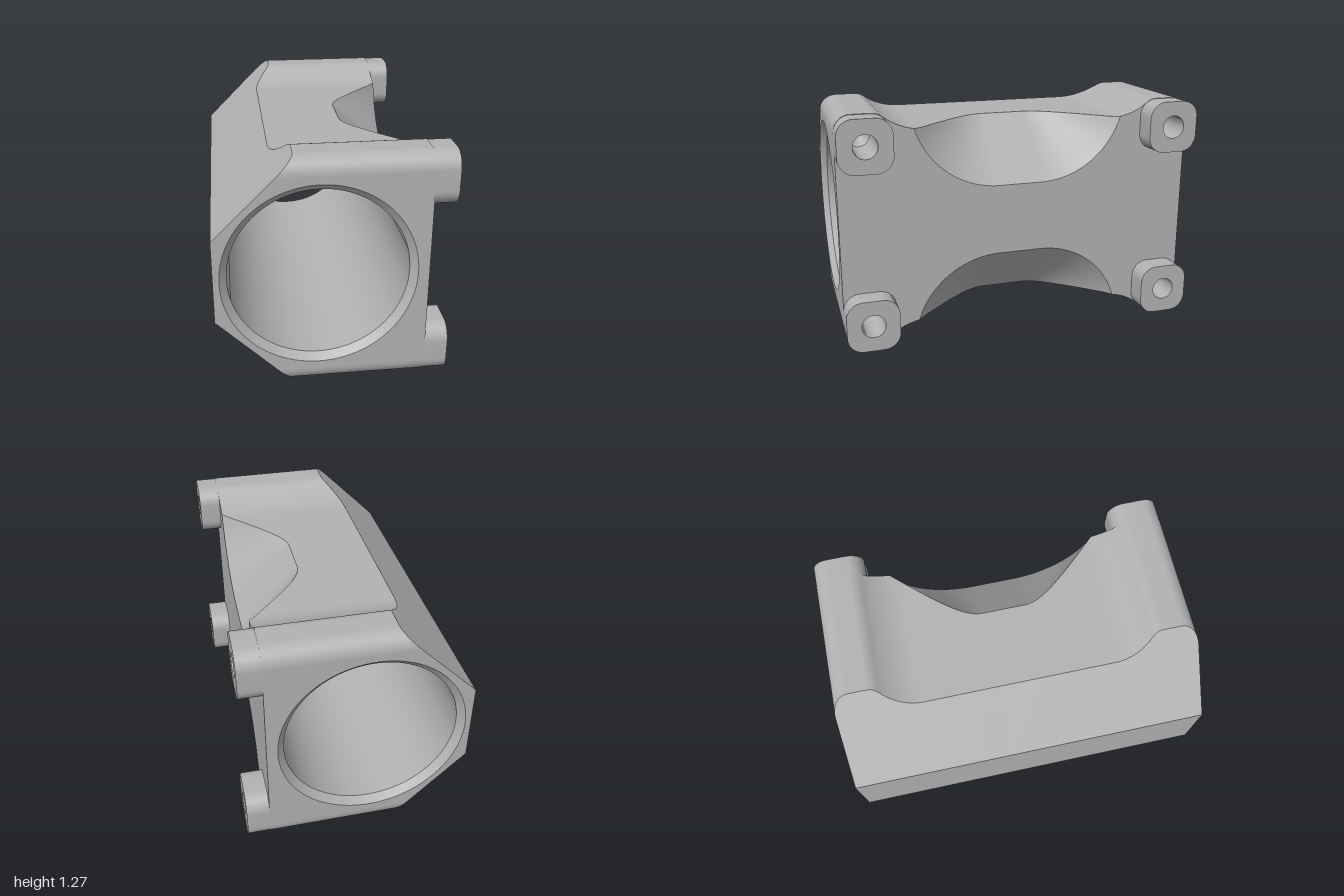
import * as THREE from 'three';
import { toCreasedNormals } from 'three/addons/utils/BufferGeometryUtils.js';

const H = 1.266, MID = H / 2;             // overall height and its middle
const LEFT = -0.607, FACE = 0.483, FOOT = 0.605;
const CORNER = 0.09, ZB = 0.588;          // corner radius, half width of the scoops
const BORE_X = -0.075, BORE_R = 0.463, MOUTH_R = 0.5;
const DRILL_R = 0.064, DRILL_Z = 0.857, DRILL_Y = H - 0.146;
const CONE_Z = 0.12, CONE_Y = 1.32, CONE_R = 0.49;

const grey = new THREE.MeshStandardMaterial({ color: 0xb2b2b2 });
grey.name = 'castGrey';

const V = (x, y, z) => new THREE.Vector3(x, y, z);

// Smooth surface through equal rows of points; lower = mirrored to the underside
function sheet(rows, lower = false) {
  const n = rows[0].length, pos = [], idx = [];
  rows.forEach(r => r.forEach(p => pos.push(p.x, lower ? H - p.y : p.y, p.z)));
  for (let i = 0; i < rows.length - 1; i++) {
    for (let j = 0; j < n - 1; j++) {
      const a = i * n + j, b = a + n, c = b + 1, d = a + 1;
      if (lower) idx.push(a, c, b, a, d, c);
      else idx.push(a, b, c, a, c, d);
    }
  }
  const g = new THREE.BufferGeometry();
  g.setAttribute('position', new THREE.Float32BufferAttribute(pos, 3));
  g.setIndex(idx);
  g.computeVertexNormals();
  return g;
}

// Upper outline seen from the side, as [z, y] from z = 1 to z = -1
function topProfile() {
  const half = [];
  const arc = (cz, cy, r, a0, a1, n) => {
    for (let i = 0; i <= n; i++) {
      const a = a0 + (a1 - a0) * i / n;
      half.push([cz + r * Math.cos(a), cy + r * Math.sin(a)]);
    }
  };
  const top = H - CORNER, tangent = Math.atan2(0.35, -0.275);
  arc(1 - CORNER, top, CORNER, 0, Math.PI / 2, 12);
  arc(0.805, top, CORNER, Math.PI / 2, tangent, 6);
  // concave sweep down to the waist
  const sweep = z => [z, 1.525 - Math.sqrt(0.355 ** 2 - (z - 0.53) ** 2)];
  for (let i = 1; i <= 10; i++) half.push(sweep(0.749 + (ZB - 0.749) * i / 10));
  for (let i = 1; i <= 4; i++) half.push(sweep(ZB + (0.53 - ZB) * i / 4));
  for (let i = 1; i <= 24; i++) half.push([0.53 + (CONE_Z - 0.53) * i / 24, 1.17]);
  return [...half, ...half.slice().reverse().map(([z, y]) => [-z, y])];
}

// Scoop: a 45 degree cone at each end with a flat slope between
const coneZ = z => Math.max(Math.abs(z) - CONE_Z, 0);
const scoopX = (z, y) => Math.min(FACE, Math.hypot(coneZ(z), CONE_Y - y) - CONE_R + FACE);
const scoopY = z => CONE_Y - Math.sqrt(Math.max(0, CONE_R ** 2 - coneZ(z) ** 2));
const inScoop = z => Math.abs(z) <= ZB + 1e-6;

function lathe(points, segments) {
  return new THREE.LatheGeometry(points.map(p => new THREE.Vector2(...p)), segments);
}

function circlePath(x, y, r) {
  return new THREE.Path().absarc(x, y, r, 0, Math.PI * 2, true);
}

export function createModel() {
  const group = new THREE.Group();
  group.name = 'bearingBlock';
  const add = (name, geo) => {
    const m = new THREE.Mesh(geo, grey);
    m.name = name;
    group.add(m);
  };

  const profile = topProfile();
  const chamferX = y => -0.2 - (H - y);
  const skin = profile.map(([z, y]) =>
    [V(inScoop(z) ? scoopX(z, y) : FACE, y, z), V(chamferX(y), y, z)]);
  const bevelY = H - (-0.2 - LEFT);
  const bevel = profile.map(([z, y]) => [V(chamferX(y), y, z), V(LEFT, bevelY, z)]);
  const scoop = profile.filter(([z]) => inScoop(z)).map(([z, y]) => {
    const row = [], y0 = Math.min(scoopY(z), y);
    for (let j = 0; j <= 12; j++) {
      const yy = y0 + (y - y0) * j / 12;
      row.push(V(scoopX(z, yy), yy, z));
    }
    return row;
  });

  // Waisted skins, long bevels and scoops, above and below
  for (const lower of [false, true]) {
    const side = lower ? 'lower' : 'upper';
    add(side + 'Skin', sheet(skin, lower));
    add(side + 'Bevel', sheet(bevel, lower));
    add(side + 'Scoop', sheet(scoop, lower));
  }

  // Flat back strip
  add('backStrip', new THREE.PlaneGeometry(2, 2 * bevelY - H)
    .rotateY(-Math.PI / 2).translate(LEFT, MID, 0));

  // End faces with the bore mouth
  const yTop = H - CORNER, xTop = chamferX(yTop);
  const end = new THREE.Shape([
    [LEFT, H - bevelY], [xTop, CORNER], [FACE, CORNER],
    [FACE, yTop], [xTop, yTop], [LEFT, bevelY],
  ].map(p => new THREE.Vector2(...p)));
  end.holes.push(circlePath(BORE_X, MID, MOUTH_R));
  add('frontEnd', new THREE.ShapeGeometry(end, 48).translate(0, 0, 1));
  add('rearEnd', new THREE.ShapeGeometry(end, 48).rotateX(Math.PI).translate(0, H, -1));

  // Bore with a chamfered mouth at each end
  const depth = 1 - (MOUTH_R - BORE_R);
  const bore = {
    frontMouth: [[MOUTH_R, 1], [BORE_R, depth]],
    boreWall: [[BORE_R, depth], [BORE_R, -depth]],
    rearMouth: [[BORE_R, -depth], [MOUTH_R, -1]],
  };
  for (const [name, pts] of Object.entries(bore)) {
    add(name, lathe(pts, 96).rotateX(Math.PI / 2).translate(BORE_X, MID, 0));
  }

  // Mounting face, open at the drilled holes
  const upper = profile.map(([z, y]) =>
    new THREE.Vector2(-z, inScoop(z) ? Math.min(y, scoopY(z)) : y));
  const lowerEdge = upper.slice().reverse().map(p => new THREE.Vector2(p.x, H - p.y));
  const face = new THREE.Shape([...upper, ...lowerEdge]);
  const spots = [];
  for (const z of [DRILL_Z, -DRILL_Z]) for (const y of [DRILL_Y, H - DRILL_Y]) spots.push([z, y]);
  spots.forEach(([z, y]) => face.holes.push(circlePath(-z, y, DRILL_R)));
  add('mountingFace', new THREE.ShapeGeometry(face, 16).rotateY(Math.PI / 2).translate(FACE, 0, 0));

  // Rounded square feet with drilled holes
  const h = 0.143, k = h - CORNER, q = Math.PI / 2;
  const pad = new THREE.Shape();
  [[k, k], [-k, k], [-k, -k], [k, -k]].forEach(([x, y], i) =>
    pad.absarc(x, y, CORNER, i * q, (i + 1) * q, false));
  pad.holes.push(circlePath(0, 0, DRILL_R));
  const foot = toCreasedNormals(new THREE.ExtrudeGeometry(pad,
    { depth: FOOT - FACE, bevelEnabled: false, curveSegments: 16 }), 0.6)
    .rotateY(Math.PI / 2).translate(FACE, 0, 0);
  const drill = lathe([[DRILL_R, FACE], [DRILL_R, 0.3]], 32).rotateZ(-q);
  const tip = lathe([[DRILL_R, 0.3], [0, 0.262]], 32).rotateZ(-q);
  spots.forEach(([z, y]) => {
    add('foot', foot.clone().translate(0, y, z));
    add('drilledHole', drill.clone().translate(0, y, z));
    add('holeTip', tip.clone().translate(0, y, z));
  });

  return group;
}
